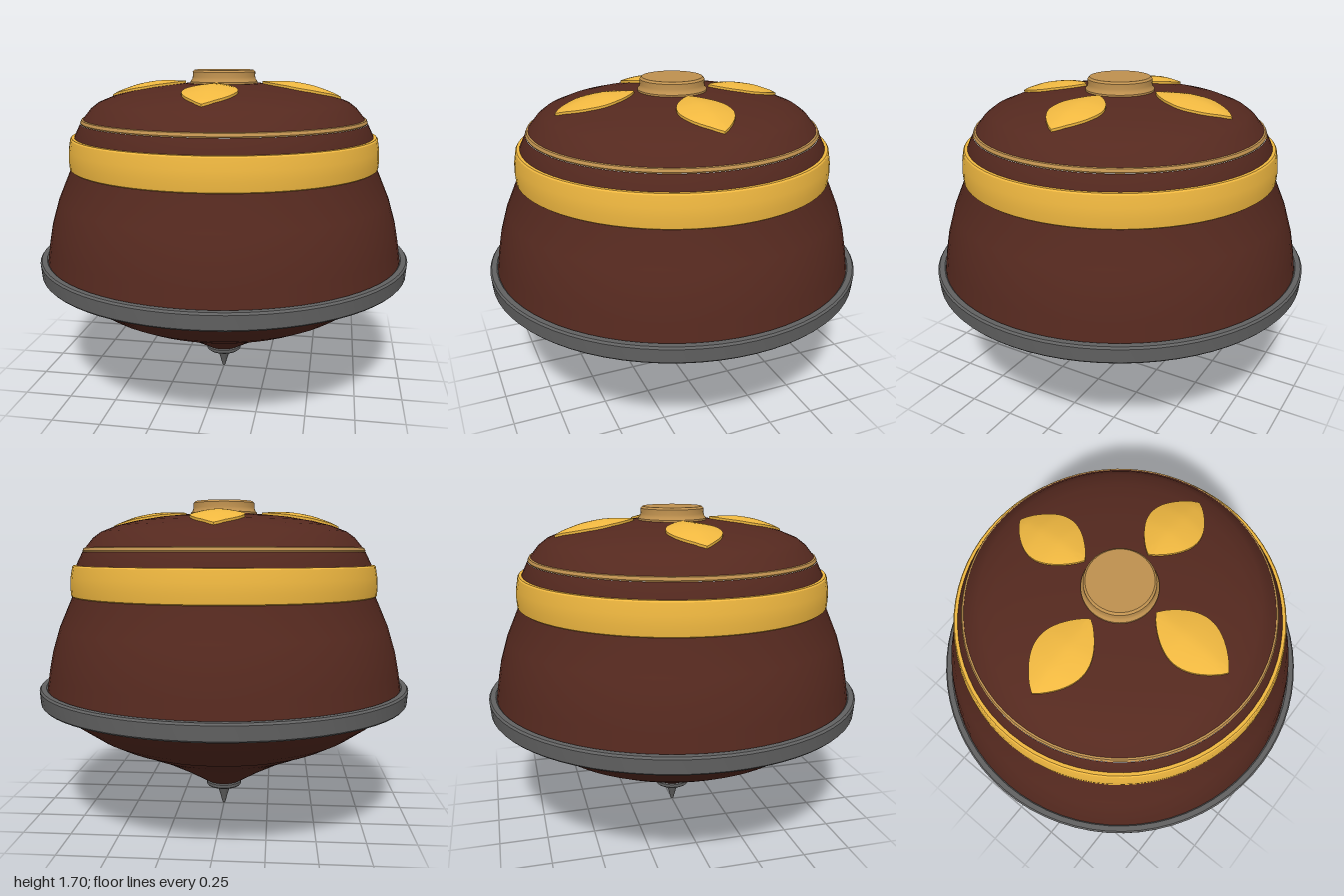
import * as THREE from 'three';
import { toCreasedNormals } from 'three/addons/utils/BufferGeometryUtils.js';

const mat = (color) => new THREE.MeshStandardMaterial({ color });
const brown = mat(0x55291f), gold = mat(0xf0b840), steel = mat(0x626262), tan = mat(0xbf914f);

// Dome profile from its rim to the centre, as [radius, height]
const dome = [[0.745, 1.45], [0.70, 1.505], [0.66, 1.535], [0.58, 1.567], [0.48, 1.592], [0.36, 1.613], [0.2, 1.63], [0, 1.637]];

function domeHeight(r) {
  for (let i = 1; i < dome.length; i++) {
    const [r0, y0] = dome[i - 1], [r1, y1] = dome[i];
    if (r >= r1) return y0 + (y1 - y0) * (r0 - r) / (r0 - r1);
  }
  return dome[dome.length - 1][1];
}

// Turned part, profile listed from bottom to top
function turned(name, profile, material, segments = 72) {
  const lathe = new THREE.LatheGeometry(profile.map(([r, y]) => new THREE.Vector2(r, y)), segments);
  const mesh = new THREE.Mesh(toCreasedNormals(lathe, 0.5), material);
  mesh.name = name;
  return mesh;
}

// Pointed leaf along +x with a raised midrib, lying on the dome
function leafGeometry() {
  const nu = 20, nv = 12, r0 = 0.205, r1 = 0.615;
  const pos = [], index = [];
  for (let i = 0; i <= nu; i++) {
    const t = i / nu;
    const half = 0.134 * Math.pow(Math.sin(Math.PI * t), 0.82);
    const x = r0 + (r1 - r0) * t;
    for (let j = -1; j <= nv + 1; j++) {
      const skirt = j < 0 || j > nv;
      const v = THREE.MathUtils.clamp(j / nv, 0, 1) * 2 - 1;
      const z = v * half;
      const base = domeHeight(Math.hypot(x, z));
      const crown = 0.018 * (1 - Math.abs(v) ** 1.5) * Math.sin(Math.PI * t);
      pos.push(x, skirt ? base - 0.02 : base + 0.012 + crown, z);
    }
  }
  const row = nv + 3;
  for (let i = 0; i < nu; i++) {
    for (let j = 0; j < row - 1; j++) {
      const a = i * row + j, b = a + 1, c = a + row, d = c + 1;
      index.push(a, b, c, b, d, c);
    }
  }
  const geo = new THREE.BufferGeometry();
  geo.setAttribute('position', new THREE.Float32BufferAttribute(pos, 3));
  geo.setIndex(index);
  return toCreasedNormals(geo, 0.5);
}

export function createModel() {
  const model = new THREE.Group();
  model.name = 'spinningTop';

  // Steel point and its collar
  model.add(turned('tip', [[0, 0], [0.008, 0.008], [0.022, 0.06], [0.042, 0.12]], steel, 32));
  model.add(turned('tipCollar', [[0, 0.115], [0.09, 0.115], [0.097, 0.122], [0.097, 0.138], [0.09, 0.146], [0, 0.146]], steel, 48));

  // Body: lower cone, small step, bowl, then tapering upper wall
  model.add(turned('lowerCone', [[0.08, 0.14], [0.1, 0.148], [0.235, 0.23], [0.39, 0.315], [0.5, 0.364], [0.6, 0.413]], brown));
  model.add(turned('lowerBowl', [[0.59, 0.415], [0.615, 0.415], [0.64, 0.427], [0.72, 0.47], [0.84, 0.555], [0.92, 0.62], [0.95, 0.66]], brown));
  model.add(turned('upperWall', [[0.965, 0.69], [0.958, 0.725], [0.945, 0.81], [0.925, 0.91], [0.885, 1.04], [0.815, 1.2], [0.8, 1.29], [0.79, 1.365], [0.757, 1.432]], brown));

  // Steel rim around the widest part
  model.add(turned('rim', [[0.92, 0.637], [0.988, 0.637], [0.995, 0.645], [1, 0.715], [0.992, 0.725], [0.965, 0.725], [0.955, 0.715]], steel));

  // Gold band and thin trim ring
  model.add(turned('goldBand', [[0.79, 1.2], [0.815, 1.2], [0.822, 1.205], [0.825, 1.25], [0.822, 1.3], [0.812, 1.355], [0.806, 1.362], [0.78, 1.362]], gold));
  model.add(turned('trimRing', [[0.735, 1.432], [0.755, 1.432], [0.757, 1.438], [0.75, 1.452], [0.735, 1.456]], tan));

  // Domed lid
  model.add(turned('dome', dome, brown));

  // Four leaves on the lid
  const leaf = leafGeometry();
  for (let i = 0; i < 4; i++) {
    const mesh = new THREE.Mesh(leaf, gold);
    mesh.name = `leaf${i + 1}`;
    mesh.rotation.y = i * Math.PI / 2;
    model.add(mesh);
  }

  // Centre button with a flared foot
  model.add(turned('button', [[0.178, 1.62], [0.178, 1.64], [0.168, 1.652], [0.165, 1.665], [0.165, 1.69], [0.155, 1.7], [0, 1.7]], tan, 48));
  return model;
}
